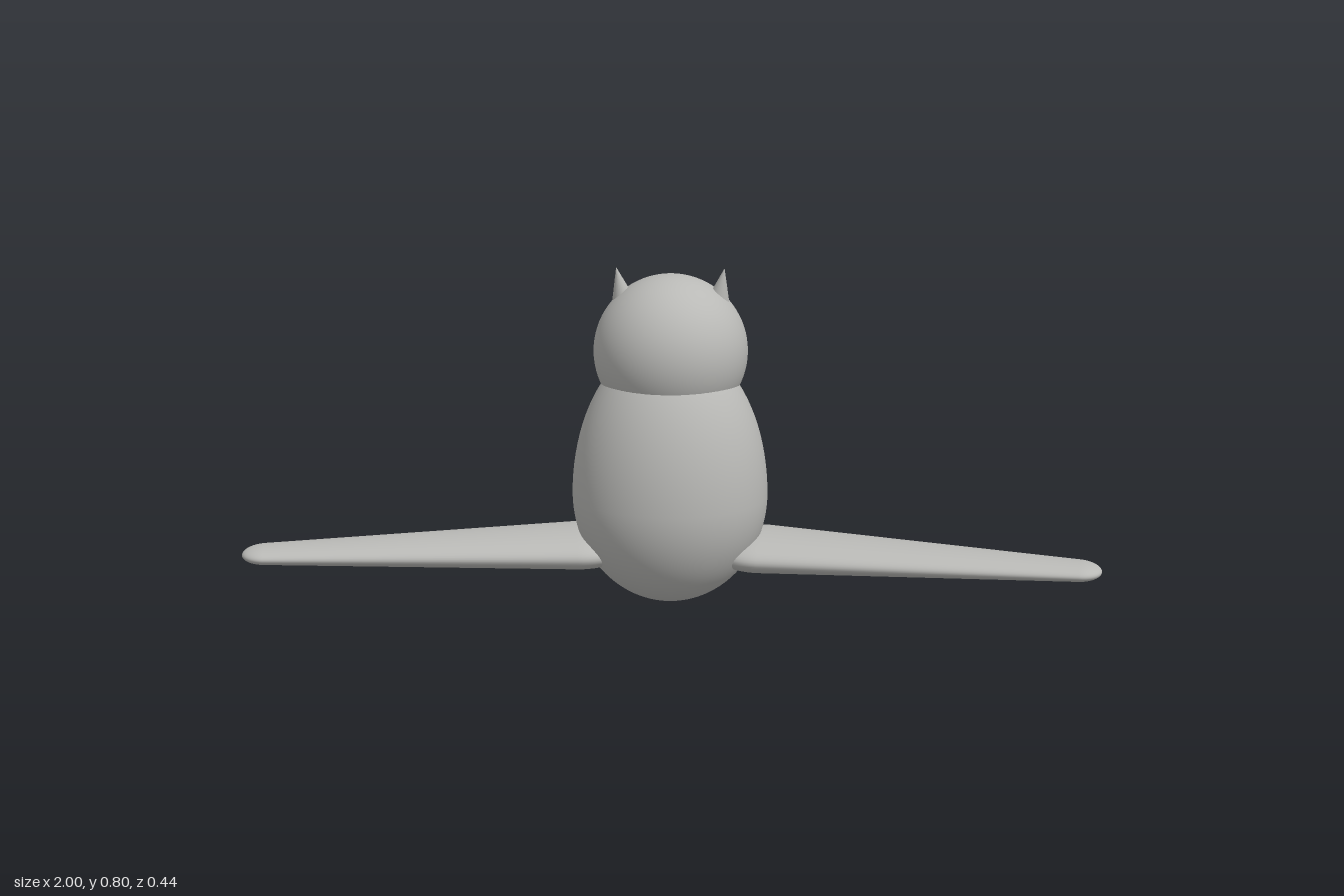
import * as THREE from 'three';

const V = (x, y, z) => new THREE.Vector3(x, y, z);

export function createModel() {
  const group = new THREE.Group();
  const mat = (name, color) => {
    const m = new THREE.MeshStandardMaterial({ color });
    m.name = name;
    return m;
  };
  const grey = mat('plumage grey', 0xb9b9b6);
  const gold = mat('eye gold', 0xd6aa32);
  const black = mat('face black', 0x242424);

  const add = (name, geometry, material) => {
    const mesh = new THREE.Mesh(geometry, material);
    mesh.name = name;
    group.add(mesh);
    return mesh;
  };
  // Turn a mesh so its own +y axis runs along a direction
  const aim = (mesh, dir) => mesh.quaternion.setFromUnitVectors(V(0, 1, 0), dir.clone().normalize());
  // Cone from base centre to tip
  const cone = (name, base, tip, radius, sides, material) => {
    const axis = tip.clone().sub(base);
    const mesh = add(name, new THREE.ConeGeometry(radius, axis.length(), sides), material);
    mesh.position.copy(base).add(tip).multiplyScalar(0.5);
    aim(mesh, axis);
    return mesh;
  };

  // Egg-shaped body: short half ellipse below, longer one above
  const profile = [];
  for (let i = 0; i <= 48; i++) {
    const a = -Math.PI / 2 + (Math.PI * i) / 48;
    const h = a < 0 ? 0.26 : 0.37;
    profile.push(new THREE.Vector2(Math.max(0, 0.23 * Math.cos(a)), 0.26 + h * Math.sin(a)));
  }
  const body = add('body', new THREE.LatheGeometry(profile, 64), grey);
  body.scale.z = 0.905;
  body.position.z = 0.0125;

  // Head
  const headCentre = V(0, 0.598, -0.013);
  const head = add('head', new THREE.SphereGeometry(0.18, 64, 40), grey);
  head.position.copy(headCentre);

  // Dark facial disc: thin cap over the front of the head
  const face = add('facialDisc', new THREE.SphereGeometry(0.182, 48, 16, 0, Math.PI * 2, 0, 0.64), black);
  face.position.copy(headCentre);
  aim(face, V(0, 0, -1));

  cone('beak', V(0, 0.578, -0.178), V(0, 0.535, -0.221), 0.022, 4, black);

  // Wing outline: two round ends joined by their common tangents
  const wingGeometry = (root, r0, tip, r1, flat) => {
    const axis = tip.clone().sub(root);
    const len = axis.length();
    const lift = Math.asin((r0 - r1) / len);
    const pts = [];
    const arc = (r, y, from, to) => {
      for (let i = 0; i <= 16; i++) {
        const a = from + ((to - from) * i) / 16;
        pts.push(new THREE.Vector2(Math.max(0, r * Math.cos(a)), y + r * Math.sin(a)));
      }
    };
    arc(r0, 0, -Math.PI / 2, lift);
    arc(r1, len, lift, Math.PI / 2);
    const g = new THREE.LatheGeometry(pts, 48);
    g.applyQuaternion(new THREE.Quaternion().setFromUnitVectors(V(0, 1, 0), axis.normalize()));
    g.translate(root.x, 0, root.z);
    g.scale(1, flat, 1);
    return g;
  };

  for (const [side, s] of [['left', 1], ['right', -1]]) {
    const wing = add(side + 'Wing',
      wingGeometry(V(0.215 * s, 0, 0.013), 0.127, V(0.943 * s, 0, 0.13), 0.057, 0.355), grey);
    wing.position.y = 0.127;

    // Bulging eye, flattened along the line out of the head
    const out = V(0.5 * s, 0.15, -0.85).normalize();
    const eye = add(side + 'Eye', new THREE.SphereGeometry(0.052, 32, 20), gold);
    eye.scale.y = 0.56;
    aim(eye, out);
    eye.position.copy(headCentre).addScaledVector(out, 0.18);

    // Ear tuft
    cone(side + 'EarTuft', V(0.111 * s, 0.722, -0.011), V(0.125 * s, 0.797, 0.004), 0.025, 24, grey);
  }

  return group;
}
